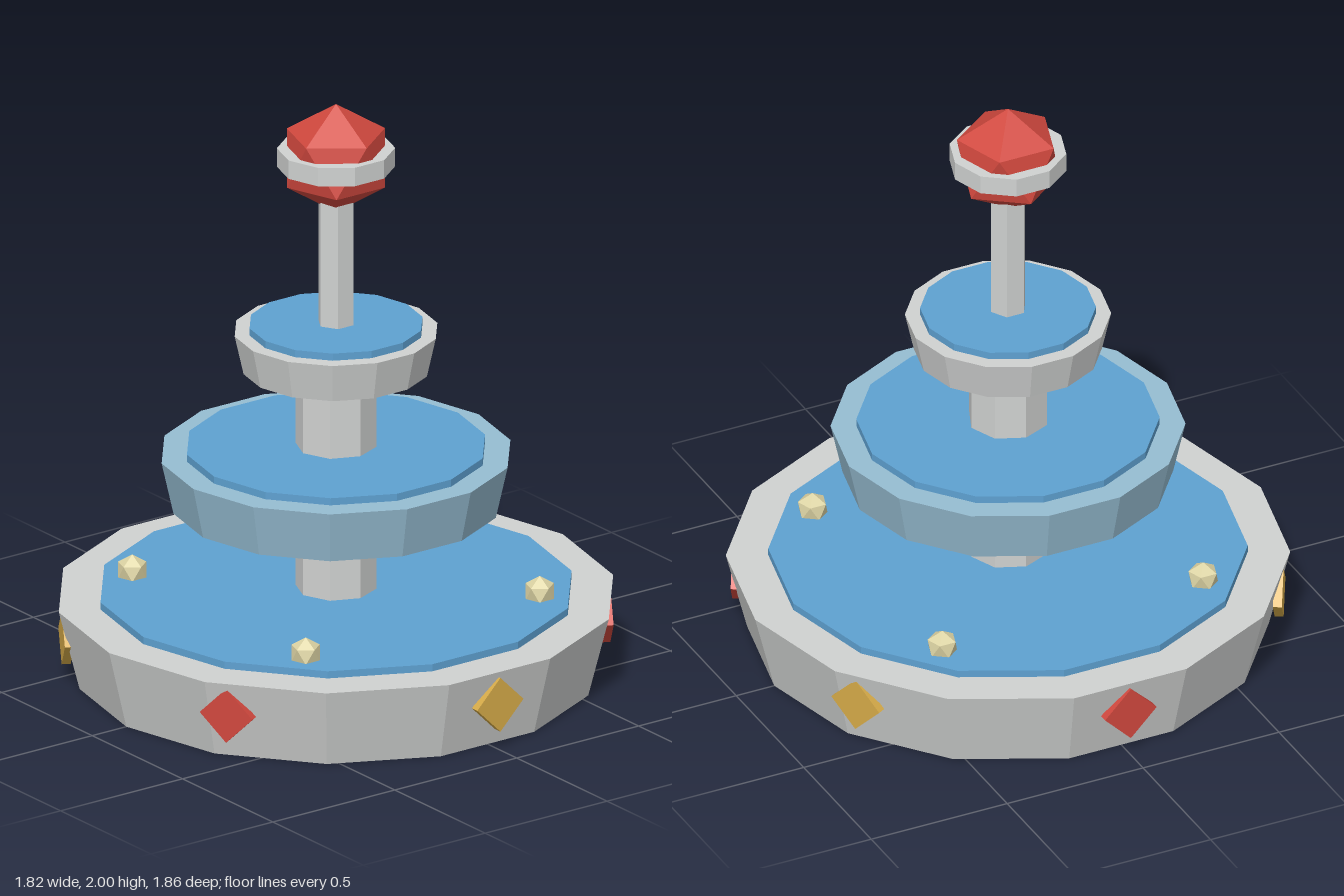
import * as THREE from 'three';

export function createModel() {
  const root = new THREE.Group();
  root.name = 'fountain';

  const material = (name, color) => {
    const m = new THREE.MeshStandardMaterial({ color, flatShading: true });
    m.name = name;
    return m;
  };
  const stone = material('pale stone', 0xd0d2d1);
  const blueStone = material('blue stone', 0x96bdd2);
  const water = material('water blue', 0x5ea1d1);
  const red = material('red gem', 0xd1483e);
  const gold = material('gold', 0xd5aa48);
  const cream = material('cream', 0xddd4a4);

  const add = (name, geometry, mat, x = 0, y = 0, z = 0) => {
    const mesh = new THREE.Mesh(geometry, mat);
    mesh.name = name;
    mesh.position.set(x, y, z);
    root.add(mesh);
    return mesh;
  };

  // Faceted disc or post between two heights
  const drum = (name, mat, rTop, rBottom, y0, y1, sides) =>
    add(name, new THREE.CylinderGeometry(rTop, rBottom, y1 - y0, sides), mat, 0, (y0 + y1) / 2, 0);

  // Icosahedron standing on one of its corners
  const gem = (name, mat, r, x, y, z) =>
    add(name, new THREE.IcosahedronGeometry(r).rotateZ(-Math.atan(2 / (1 + Math.sqrt(5)))), mat, x, y, z);

  // Three tapered basins, each with a raised disc of water
  const tiers = [
    ['base', stone, 0.93, 0.86, 0, 0.275, 0.79],
    ['middle', blueStone, 0.585, 0.545, 0.595, 0.775, 0.5],
    ['upper', stone, 0.34, 0.31, 1.07, 1.205, 0.29],
  ];
  for (const [name, mat, rTop, rBottom, y0, y1, rWater] of tiers) {
    drum(name + 'Basin', mat, rTop, rBottom, y0, y1, 14);
    drum(name + 'Water', water, rWater, rWater, y1 - 0.02, y1 + 0.025, 14);
  }

  // Column and spire
  drum('column', stone, 0.135, 0.135, 0.27, 1.1, 8);
  drum('spire', stone, 0.063, 0.063, 1.2, 1.7, 6);

  // Finial gem with its collar
  gem('finialGem', red, 0.19, 0, 1.81, 0);
  drum('finialCollar', stone, 0.195, 0.195, 1.78, 1.845, 10);

  // Knobs resting on the lowest water
  for (const x of [-0.48, 0.48])
    for (const z of [-0.48, 0.48]) gem('waterKnob', cream, 0.055, x, 0.32, z);

  // Alternating diamond plaques around the base
  const plaque = new THREE.BoxGeometry(0.134, 0.134, 0.03).rotateZ(Math.PI / 4);
  for (let i = 0; i < 6; i++) {
    const a = Math.PI / 2 + (i * Math.PI) / 3;
    const mesh = add('basePlaque', plaque, i % 2 ? red : gold, 0.895 * Math.sin(a), 0.16, 0.895 * Math.cos(a));
    mesh.rotation.y = a;
  }

  return root;
}
